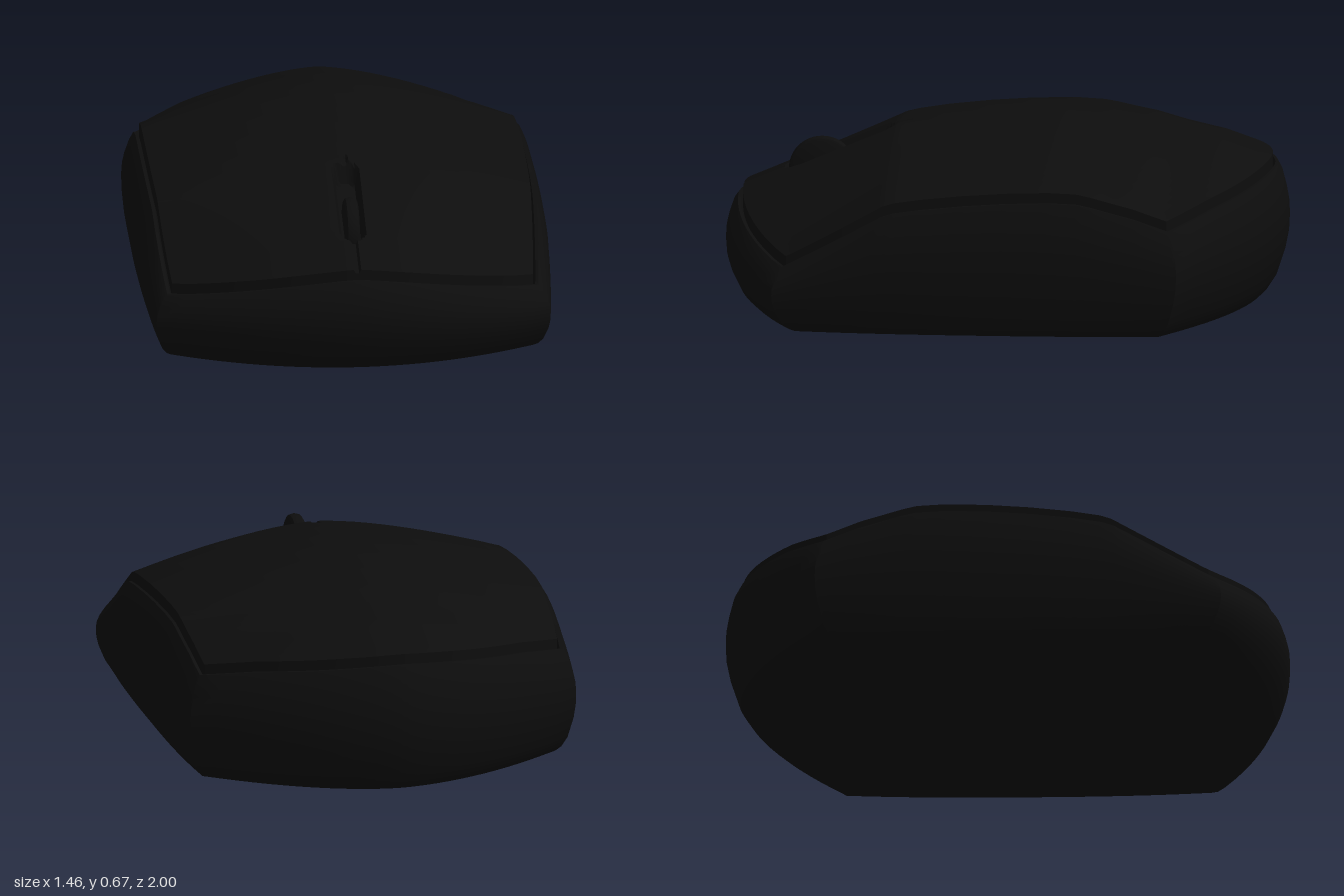
import * as THREE from 'three';
import { toCreasedNormals } from 'three/addons/utils/BufferGeometryUtils.js';

const black = new THREE.MeshStandardMaterial({ color: 0x0d0d0d });
black.name = 'black plastic';

const { lerp, smoothstep } = THREE.MathUtils;

// Piecewise linear curve through [z, value] points, z falling
function curve(points, z) {
  for (let i = 0; i < points.length - 1; i++) {
    const [z0, a] = points[i], [z1, b] = points[i + 1];
    if (z >= z1) return lerp(a, b, Math.max(0, (z0 - z) / (z0 - z1)));
  }
  return points[points.length - 1][1];
}
const ridge = [[1, 0.345], [0.94, 0.375], [0.78, 0.445], [0.39, 0.61], [0.25, 0.634], [0.1, 0.652], [-0.05, 0.664],
  [-0.2, 0.669], [-0.35, 0.662], [-0.5, 0.645], [-0.75, 0.59], [-0.91, 0.535], [-1, 0.5]];
const edgeDrop = [[1, 0.205], [0.75, 0.205], [0.35, 0.135], [-0.3, 0.135], [-0.62, 0.195], [-1, 0.2]];

// Height of the lid: a ridge line that falls away to both sides
const lidHeight = (x, z) =>
  curve(ridge, z) - curve(edgeDrop, z) * Math.pow(Math.abs(x) / 0.668, 1.55);

// Plan of the shell: u runs across, v from back to front
function plan(u, v) {
  const back = -1 + 0.34 * Math.pow(Math.abs(u), 1.75);
  const front = 1 - 0.22 * u * u;
  const z = lerp(back, front, v);
  const bulge = 1 - 0.04 * Math.min(1, Math.pow(Math.abs((z - 0.05) / 0.73), 2.5));
  return [0.73 * u * bulge, z];
}
const lidPlan = (u, v) => {
  const [x, z] = plan(u, v);
  return [x * 0.915, z * 0.94];
};

// Columns are finer near the wheel slot
const half = [0.006, 0.014, 0.024, 0.034, 0.042, 0.05, 0.07, 0.1];
for (let x = 0.15; x < 0.64; x += 0.05) half.push(x);
half.push(0.668);
const us = [...half.map((x) => -x / 0.668).reverse(), 0, ...half.map((x) => x / 0.668)];
const ROWS = 130;
const vs = Array.from({ length: ROWS + 1 }, (_, i) => i / ROWS);

// Border nodes, counterclockwise from above
const border = [
  ...us.slice(0, -1).map((u) => [u, 1]),
  ...vs.slice(1).reverse().map((v) => [1, v]),
  ...us.slice(1).reverse().map((u) => [u, 0]),
  ...vs.slice(0, -1).map((v) => [-1, v]),
];

function mesh(name, positions, index) {
  const g = new THREE.BufferGeometry();
  g.setAttribute('position', new THREE.Float32BufferAttribute(positions, 3));
  g.setIndex(index);
  const m = new THREE.Mesh(toCreasedNormals(g, 0.7), black);
  m.name = name;
  return m;
}

// Joins closed rings of the border from the lowest to the highest
function loft(name, rings, point) {
  const positions = [], index = [], n = border.length;
  rings.forEach((ring, r) => border.forEach(([u, v], j) => {
    positions.push(...point(ring, u, v));
    if (r === 0) return;
    const k = (j + 1) % n;
    const a = (r - 1) * n + j, b = (r - 1) * n + k, c = r * n + k, d = r * n + j;
    index.push(a, b, c, a, c, d);
  }));
  return mesh(name, positions, index);
}

// Wheel slot and the split between the two buttons
function recess(x, z) {
  const dz = Math.max(0, 0.45 - z, z - 0.74);
  const slot = 0.07 * (1 - smoothstep(Math.hypot(x, dz), 0.034, 0.05));
  const split = z > 0.36 ? 0.014 * (1 - smoothstep(Math.abs(x), 0.004, 0.014)) : 0;
  return Math.max(slot, split);
}

export function createModel() {
  const group = new THREE.Group();

  // Lower shell: [height fraction, x scale, z scale], ending in the groove below the lid
  const shell = [[0, 0, 0], [0, 0.915, 0.9], [0.05, 0.94, 0.925], [0.15, 0.965, 0.955], [0.35, 0.99, 0.985],
    [0.48, 0.998, 0.997], [0.6, 1, 1], [0.7, 0.996, 0.998], [0.8, 0.985, 0.99], [0.93, 0.962, 0.975],
    [1, 0.942, 0.958], [1, 0.926, 0.948], [0.9, 0.908, 0.932]];
  group.add(loft('lowerShell', shell, ([t, sx, sz], u, v) => {
    const [x, z] = plan(u, v);
    const base = Math.max(0, 0.008 * (0.9 - z * sz));
    const rim = lidHeight(...lidPlan(u, v)) - 0.035;
    return [x * sx, lerp(base, rim, t), z * sz];
  }));

  // Edge of the lid
  group.add(loft('lidEdge', [0.08, 0], (drop, u, v) => {
    const [x, z] = lidPlan(u, v);
    return [x, lidHeight(x, z) - recess(x, z) - drop, z];
  }));

  // Lid with the buttons
  const positions = [], index = [], n = vs.length;
  us.forEach((u, i) => vs.forEach((v, j) => {
    const [x, z] = lidPlan(u, v);
    positions.push(x, lidHeight(x, z) - recess(x, z), z);
    if (i === 0 || j === 0) return;
    const a = (i - 1) * n + j - 1, b = a + 1, d = i * n + j - 1, c = d + 1;
    index.push(a, b, c, a, c, d);
  }));
  group.add(mesh('lid', positions, index));

  // Scroll wheel with rounded rim
  const profile = [[0, -0.024], [0.106, -0.024], [0.116, -0.018], [0.121, 0], [0.116, 0.018], [0.106, 0.024], [0, 0.024]];
  const wheelGeometry = new THREE.LatheGeometry(profile.map(([r, y]) => new THREE.Vector2(r, y)), 48);
  const wheel = new THREE.Mesh(toCreasedNormals(wheelGeometry, 0.7), black);
  wheel.name = 'scrollWheel';
  wheel.rotation.z = Math.PI / 2;
  wheel.position.set(0, 0.43, 0.66);
  group.add(wheel);

  return group;
}
